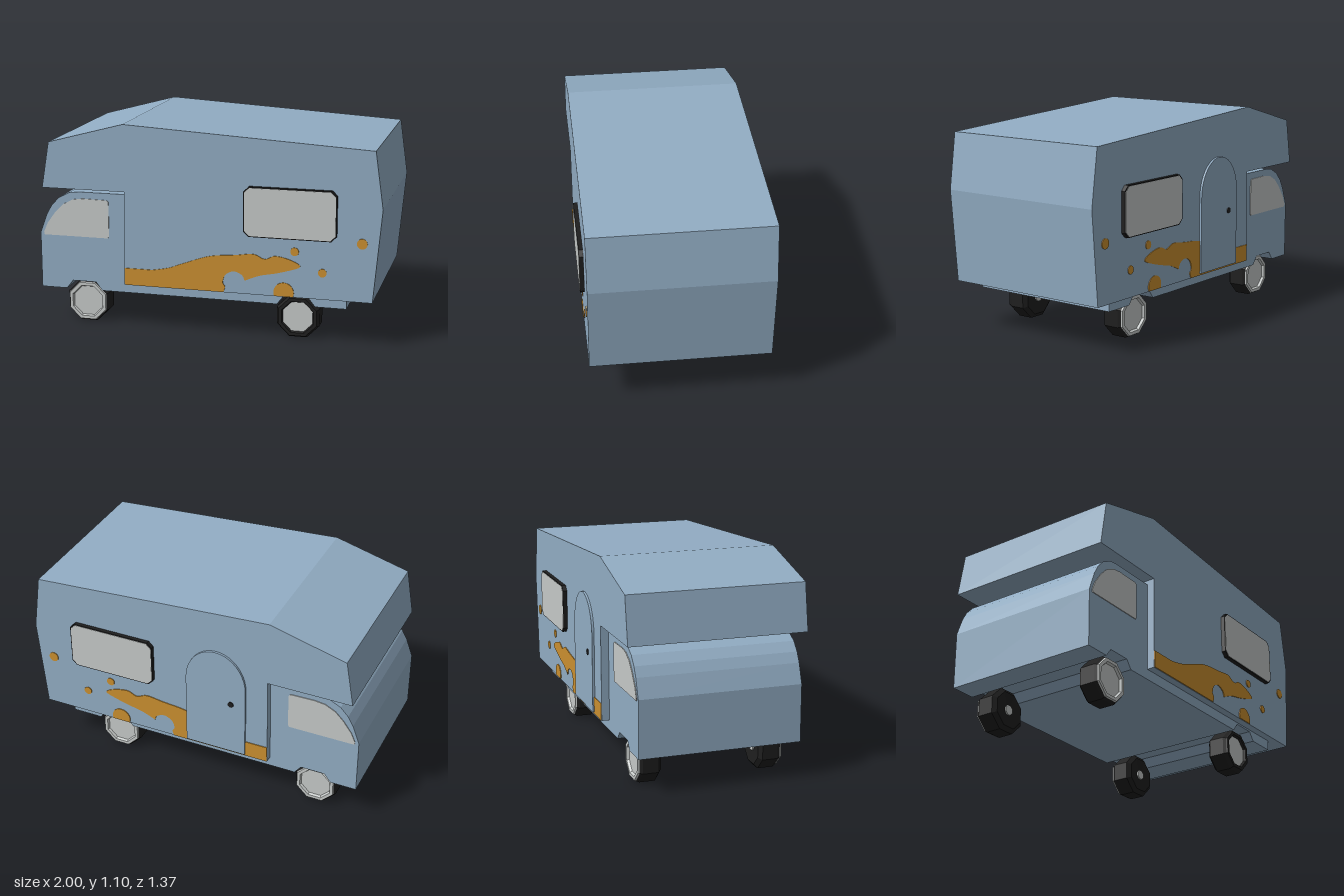
import * as THREE from 'three';

const mat = (name, color) => {
  const m = new THREE.MeshStandardMaterial({ color });
  m.name = name;
  return m;
};

const HALF_BODY = 0.466, HALF_CAB = 0.425;

export function createModel() {
  const blue = mat('bodyBlue', 0x92adc4);
  const orange = mat('stripeOrange', 0xcb9030);
  const grey = mat('paleGrey', 0xc6cac9);
  const black = mat('black', 0x1e1e1e);

  // The vehicle lies along x with its nose at -x, then is turned on the spot
  const van = new THREE.Group();
  van.name = 'camperVan';
  van.rotation.y = Math.PI / 12;

  const poly = (pts) => new THREE.Shape(pts.map(([x, y]) => new THREE.Vector2(x, y)));
  const disc = (x, y, r) => new THREE.Shape().absarc(x, y, r, 0, Math.PI * 2);

  // Extrudes a side-on shape across z, centred on zMid
  function slab(name, shape, depth, zMid, material) {
    const geo = new THREE.ExtrudeGeometry(shape, { depth, bevelEnabled: false, curveSegments: 10 });
    geo.translate(0, 0, zMid - depth / 2);
    const mesh = new THREE.Mesh(geo, material);
    mesh.name = name;
    van.add(mesh);
  }

  // Living box with the sleeping overhang above the cab
  slab('livingBox', poly([
    [-0.443, 0.245], [0.868, 0.245], [0.91, 0.73], [0.868, 1.025],
    [-0.44, 1.1], [-0.848, 0.99], [-0.89, 0.745], [-0.437, 0.745],
  ]), HALF_BODY * 2, 0, blue);

  // Cab and chassis in one profile, with wheel tunnels cut into the underside
  const axles = [-0.682, 0.468];
  const tunnels = axles.flatMap((u) => [
    [u - 0.1, 0.19], [u - 0.065, 0.235], [u + 0.065, 0.235], [u + 0.1, 0.19],
  ]);
  slab('cabAndChassis', poly([
    [-0.922, 0.19], ...tunnels, [0.73, 0.19], [0.73, 0.26], [-0.4, 0.26], [-0.4, 0.722],
    [-0.7, 0.722], [-0.757, 0.715], [-0.815, 0.685], [-0.857, 0.64], [-0.885, 0.59], [-0.922, 0.49],
  ]), HALF_CAB * 2, 0, blue);

  // Swoosh stripe: wavy top edge, rounded bite underneath
  const stripe = new THREE.Shape();
  stripe.moveTo(-0.441, 0.247);
  stripe.lineTo(-0.441, 0.337);
  stripe.lineTo(-0.29, 0.337);
  stripe.splineThru([
    [-0.2, 0.355], [-0.12, 0.385], [0.019, 0.433], [0.157, 0.449], [0.252, 0.46], [0.312, 0.438],
    [0.362, 0.457], [0.423, 0.449], [0.485, 0.425], [0.487, 0.403], [0.379, 0.369], [0.285, 0.348], [0.207, 0.316],
  ].map(([x, y]) => new THREE.Vector2(x, y)));
  stripe.splineThru([
    [0.193, 0.345], [0.15, 0.362], [0.107, 0.342], [0.091, 0.3], [0.103, 0.275], [0.094, 0.247],
  ].map(([x, y]) => new THREE.Vector2(x, y)));

  const halfBlob = new THREE.Shape().absarc(0.412, 0.267, 0.053, -0.39, Math.PI + 0.39);
  const dots = [[0.467, 0.487, 0.022], [0.611, 0.385, 0.022], [0.811, 0.55, 0.027]];

  const cabWindow = poly([
    [-0.9, 0.48], [-0.545, 0.48], [-0.538, 0.49], [-0.538, 0.675], [-0.548, 0.685], [-0.68, 0.687],
    [-0.735, 0.68], [-0.79, 0.652], [-0.835, 0.607], [-0.88, 0.545], [-0.902, 0.495],
  ]);

  // Rectangle with cut corners
  const cut = (x0, x1, y0, y1, c) => poly([
    [x0 + c, y0], [x1 - c, y0], [x1, y0 + c], [x1, y1 - c],
    [x1 - c, y1], [x0 + c, y1], [x0, y1 - c], [x0, y0 + c],
  ]);

  for (const s of [1, -1]) {
    const paintZ = s * (HALF_BODY + 0.001);
    slab('stripe', stripe, 0.006, paintZ, orange);
    slab('stripeBlob', halfBlob, 0.006, paintZ, orange);
    dots.forEach((d) => slab('stripeDot', disc(...d), 0.006, paintZ, orange));
    slab('cabWindow', cabWindow, 0.006, s * (HALF_CAB + 0.001), grey);
    slab('sideWindowFrame', cut(0.203, 0.683, 0.555, 0.815, 0.026), 0.03, s * (HALF_BODY + 0.007), black);
    slab('sideWindowGlass', cut(0.208, 0.678, 0.56, 0.81, 0.026), 0.006, s * (HALF_BODY + 0.021), grey);
  }

  // Arched entrance door on one side only
  const door = new THREE.Shape();
  door.moveTo(-0.32, 0.257);
  door.lineTo(0.015, 0.257);
  door.lineTo(0.015, 0.66);
  door.absellipse(-0.1525, 0.66, 0.1675, 0.2, 0, Math.PI, false, 0);
  slab('door', door, 0.02, -HALF_BODY - 0.002, blue);
  slab('doorHandle', disc(-0.24, 0.56, 0.016), 0.008, -HALF_BODY - 0.012, black);

  // Eight-sided wheels, flat side down; profiles run from inner to outer face
  function turned(name, pts, material) {
    let geo = new THREE.LatheGeometry(pts.map(([r, y]) => new THREE.Vector2(r, y)), 8, Math.PI / 8);
    geo = geo.toNonIndexed();
    geo.computeVertexNormals();
    const mesh = new THREE.Mesh(geo, material);
    mesh.name = name;
    return mesh;
  }
  for (const u of axles) {
    for (const s of [1, -1]) {
      const wheel = new THREE.Group();
      wheel.name = (u < 0 ? 'front' : 'rear') + 'Wheel';
      const ringColour = u > 0 && s > 0 ? black : grey;
      wheel.add(
        turned('tyre', [[0, 0.01], [0.098, 0], [0.121, 0.018], [0.121, 0.1], [0.112, 0.115]], black),
        turned('rimRing', [[0.112, 0.115], [0.109, 0.123], [0.091, 0.123], [0.085, 0.11]], ringColour),
        turned('hubCap', [[0.085, 0.11], [0, 0.11]], grey),
        turned('axleEnd', [[0, -0.001], [0.027, -0.001], [0.027, 0.012]], grey),
      );
      wheel.rotation.x = s * Math.PI / 2;
      wheel.position.set(u, 0.112, s * 0.26);
      van.add(wheel);
    }
  }

  const model = new THREE.Group();
  model.name = 'camper';
  model.add(van);
  return model;
}
